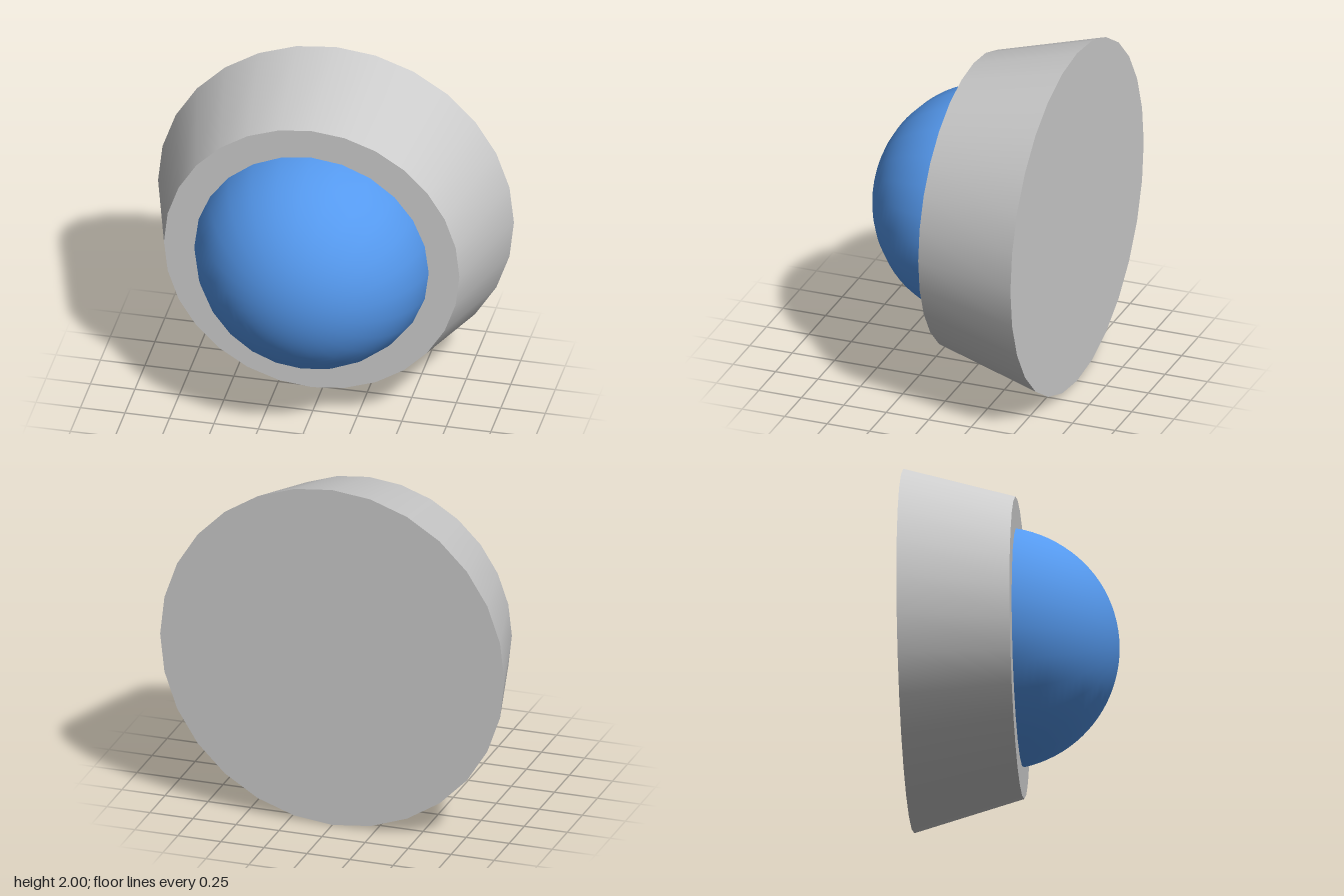
import * as THREE from 'three';

export function createModel() {
  const group = new THREE.Group();
  const back = -0.58, front = 0.03, apex = 0.577;

  // Tapered round housing, wide end at the back
  const housingGeo = new THREE.CylinderGeometry(0.83, 1, front - back, 28);
  housingGeo.rotateX(Math.PI / 2);
  const housing = new THREE.Mesh(housingGeo, new THREE.MeshStandardMaterial({ color: 0xcccccc }));
  housing.name = 'housing';
  housing.position.set(0, 1, (front + back) / 2);
  group.add(housing);

  // Blue spherical cap bulging from the front face
  const radius = 0.669, centre = apex - radius;
  const capAngle = Math.acos((front - centre) / radius);
  const domeGeo = new THREE.SphereGeometry(radius, 24, 20, 0, Math.PI * 2, 0, capAngle);
  domeGeo.rotateX(Math.PI / 2);
  const dome = new THREE.Mesh(domeGeo, new THREE.MeshStandardMaterial({ color: 0x5599ee }));
  dome.name = 'dome';
  dome.position.set(0, 1, centre);
  group.add(dome);

  return group;
}
